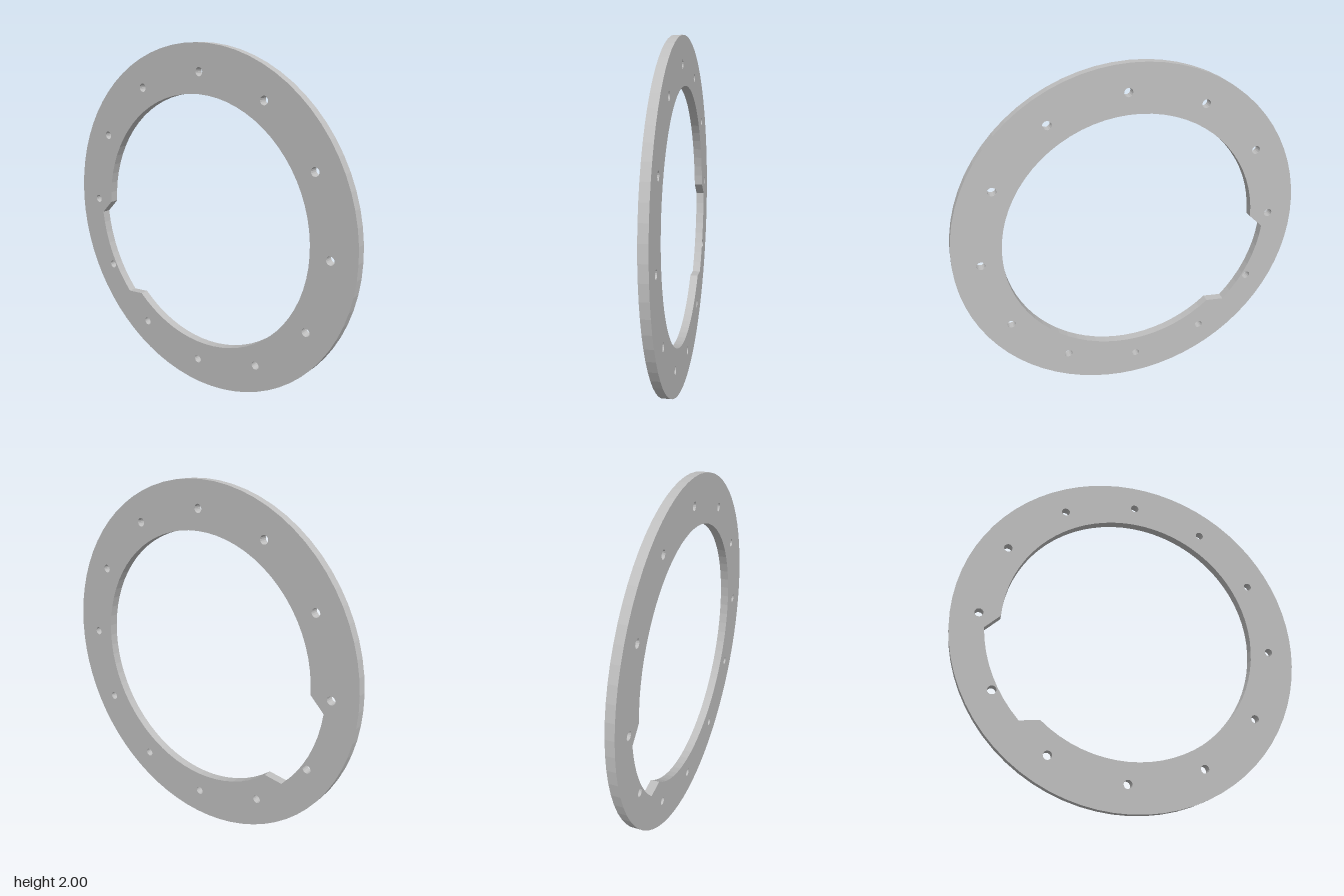
import * as THREE from 'three';

const DEG = Math.PI / 180;

// Points along an arc, angles in degrees
function arc(radius, from, to, steps, cx = 0, cy = 0) {
  const points = [];
  for (let i = 0; i <= steps; i++) {
    const a = (from + (to - from) * i / steps) * DEG;
    points.push(new THREE.Vector2(cx + radius * Math.cos(a), cy + radius * Math.sin(a)));
  }
  return points;
}

const circle = (radius, steps, cx, cy) => arc(radius, 0, 360 - 360 / steps, steps - 1, cx, cy);

export function createModel() {
  const group = new THREE.Group();
  group.name = 'flangeRing';
  const grey = new THREE.MeshStandardMaterial({ color: 0xbfbfbf });
  grey.name = 'plain grey';

  const thickness = 0.049;
  const shape = new THREE.Shape(circle(0.9997, 72));

  // Central opening with a shallow notch cut outward between two slanted ends
  shape.holes.push(new THREE.Path([
    ...arc(0.733, 1, 311.6, 62),
    ...arc(0.818, 316.8, 355.3, 8),
  ]));

  // Twelve bolt holes
  for (let i = 0; i < 12; i++) {
    const a = (1.1 + i * 30) * DEG;
    shape.holes.push(new THREE.Path(circle(0.024, 16, 0.85 * Math.cos(a), 0.85 * Math.sin(a))));
  }

  // Flat ring standing upright, facing sideways
  const geometry = new THREE.ExtrudeGeometry(shape, { depth: thickness, bevelEnabled: false });
  geometry.translate(0, 0, -thickness / 2);
  geometry.rotateY(Math.PI / 2);

  const ring = new THREE.Mesh(geometry, grey);
  ring.name = 'ring';
  ring.position.set(-0.002, 1, 0);
  ring.rotation.z = 0.015; // slight lean
  group.add(ring);
  return group;
}
